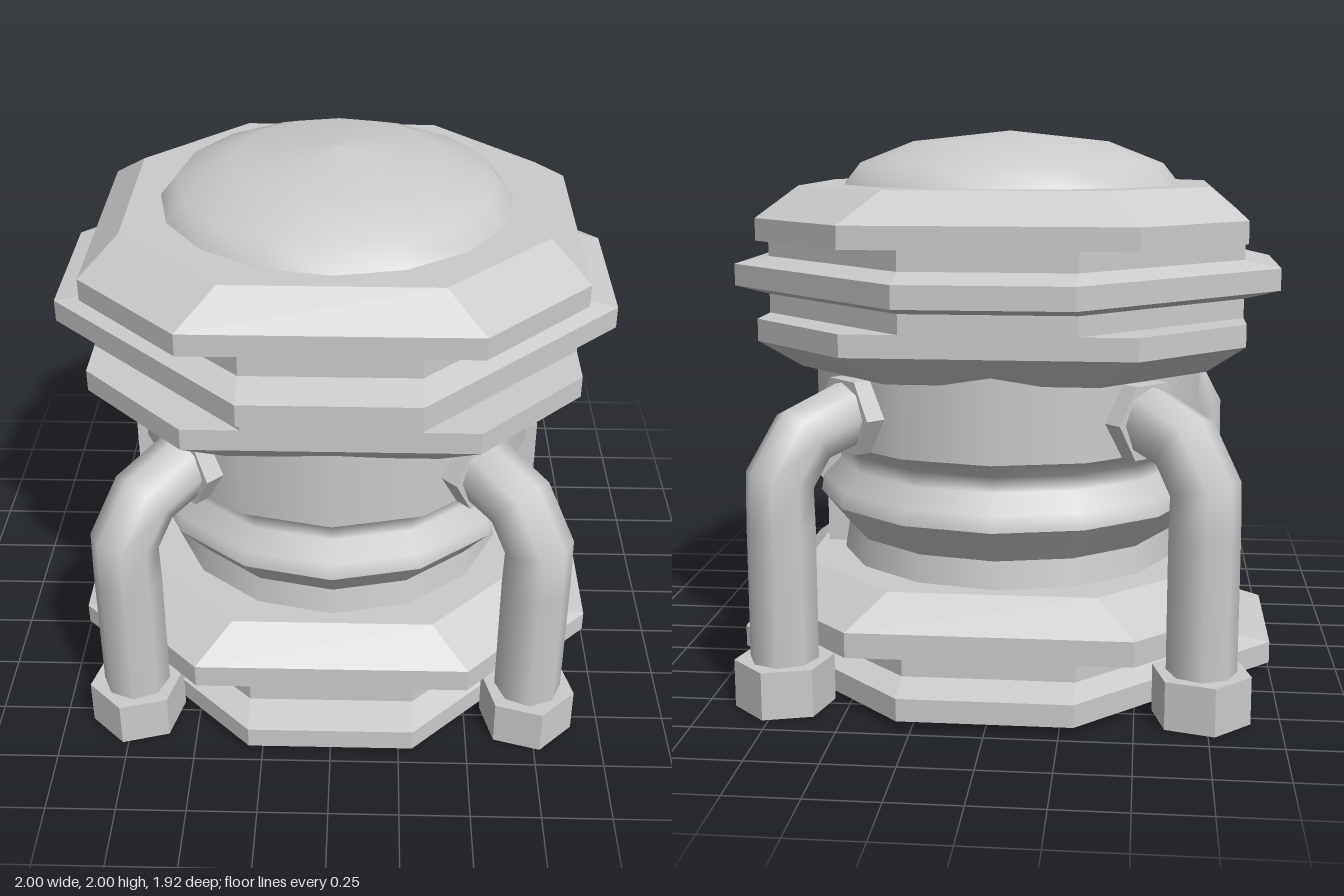
import * as THREE from 'three';

const grey = new THREE.MeshStandardMaterial({ color: 0xcccccc, side: THREE.DoubleSide });
const flat = new THREE.MeshStandardMaterial({ color: 0xcccccc, flatShading: true });

function add(parent, name, geometry, material = flat) {
  const mesh = new THREE.Mesh(geometry, material);
  mesh.name = name;
  parent.add(mesh);
  return mesh;
}

// Chamfered rectangles: half width, half depth, half length of front and side flats
const BODY = [0.87, 0.83, 0.5, 0.46];
const CORE = [0.87, 0.83, 0.3, 0.28];
const FLANGE = [1.0, 0.96, 0.3, 0.28];
const END = [0.74, 0.7, 0.37, 0.33];

// Closed stack of octagonal sections, listed from bottom to top as [y, octagon]
function octagonStack(rows) {
  const pos = [], index = [];
  for (const [y, [X, Z, a, b]] of rows) {
    const ring = [[a, Z], [X, b], [X, -b], [a, -Z], [-a, -Z], [-X, -b], [-X, b], [-a, Z]];
    for (const [x, z] of ring) pos.push(x, y, z);
  }
  const top = (rows.length - 1) * 8;
  for (let r = 0; r < top; r += 8) {
    for (let i = 0; i < 8; i++) {
      const j = (i + 1) % 8;
      index.push(r + i, r + j, r + 8 + j, r + i, r + 8 + j, r + 8 + i);
    }
  }
  for (let i = 1; i < 7; i++) {
    index.push(0, i + 1, i, top, top + i, top + i + 1);
  }
  const g = new THREE.BufferGeometry();
  g.setAttribute('position', new THREE.Float32BufferAttribute(pos, 3));
  g.setIndex(index);
  const out = g.toNonIndexed();
  out.computeVertexNormals();
  return out;
}

function lathe(points, sides) {
  return new THREE.LatheGeometry(points.map(([r, y]) => new THREE.Vector2(r, y)), sides);
}

// Path through straight runs, sampled exactly at its corners
class Polyline extends THREE.Curve {
  constructor(points) {
    super();
    this.points = points;
  }
  getUtoTmapping(u) {
    return u;
  }
  getPoint(t, target = new THREE.Vector3()) {
    const n = this.points.length - 1;
    const i = Math.min(Math.floor(t * n + 1e-9), n - 1);
    return target.lerpVectors(this.points[i], this.points[i + 1], t * n - i);
  }
}

// Bent pipe with a hexagonal foot and a hexagonal collar on the drum
function makeLeg(angle) {
  const leg = new THREE.Group();
  leg.name = 'leg';
  const path = [[1.05, 0.05], [1.05, 0.65], [1.05, 0.81], [0.95, 0.95], [0.79, 1.0], [0.66, 1.0]]
    .map(([r, y]) => new THREE.Vector3(r, y, 0));
  add(leg, 'pipe', new THREE.TubeGeometry(new Polyline(path), path.length - 1, 0.122, 8), grey);
  add(leg, 'foot', new THREE.CylinderGeometry(0.175, 0.175, 0.17, 6)).position.set(1.05, 0.085, 0);
  const collar = new THREE.CylinderGeometry(0.15, 0.15, 0.11, 6).rotateZ(Math.PI / 2);
  add(leg, 'collar', collar).position.set(0.73, 1.0, 0);
  leg.rotation.y = -angle;
  return leg;
}

export function createModel() {
  const model = new THREE.Group();
  model.name = 'tank';

  // Base plate with its flange
  add(model, 'base', octagonStack([
    [0.03, FLANGE], [0.11, FLANGE], [0.14, CORE], [0.2, CORE],
    [0.2, BODY], [0.29, BODY], [0.4, END],
  ]));

  // Upper housing, notched at the corners around a flange
  add(model, 'housing', octagonStack([
    [1.14, END], [1.25, BODY], [1.33, BODY], [1.33, CORE], [1.4, CORE],
    [1.43, FLANGE], [1.51, FLANGE], [1.54, CORE], [1.61, CORE],
    [1.61, BODY], [1.69, BODY], [1.8, END],
  ]));

  // Low dome on the lid
  const dome = add(model, 'dome', lathe(
    [[0.635, 1.79], [0.635, 1.8], [0.575, 1.875], [0.37, 1.955], [0.001, 1.995]], 16), grey);
  dome.scale.z = 0.985;

  // Fourteen-sided drum, in sections that meet at sharp edges
  const drum = new THREE.Group();
  drum.name = 'drum';
  const sections = {
    lowerNeck: [[0.65, 0.38], [0.63, 0.5]],
    lowerChamfer: [[0.63, 0.5], [0.735, 0.63]],
    waist: [[0.735, 0.63], [0.725, 0.69], [0.66, 0.755], [0.655, 0.81], [0.74, 0.87]],
    upperDrum: [[0.74, 0.87], [0.74, 1.2]],
  };
  for (const [name, points] of Object.entries(sections)) add(drum, name, lathe(points, 14), grey);
  model.add(drum);

  // Stepped strut on each side of the drum
  const profile = new THREE.Shape([[0.55, 0.38], [0.715, 0.38], [0.715, 0.63], [0.78, 0.7], [0.78, 0.87], [0.55, 0.87]]
    .map(([x, y]) => new THREE.Vector2(x, y)));
  const strut = new THREE.ExtrudeGeometry(profile, { depth: 0.12, bevelEnabled: false }).translate(0, 0, -0.06);
  for (const turn of [0, Math.PI]) add(model, 'strut', strut).rotation.y = turn;

  // Four legs near the diagonals
  const spread = THREE.MathUtils.degToRad(46);
  for (const angle of [spread, -spread, Math.PI - spread, Math.PI + spread]) model.add(makeLeg(angle));

  return model;
}
